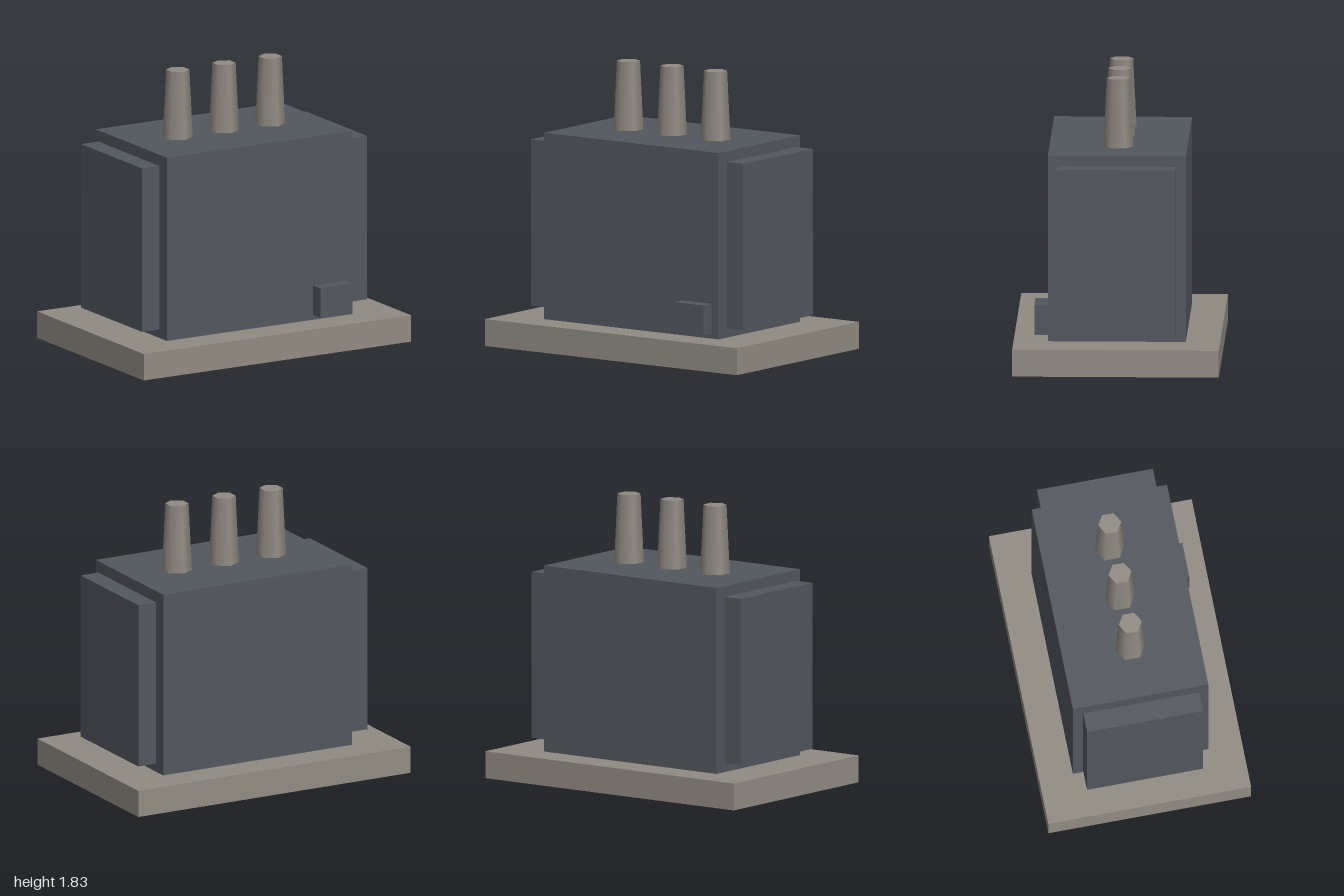
import * as THREE from 'three';

export function createModel() {
  const group = new THREE.Group();
  group.name = 'transformer';

  const stone = new THREE.MeshStandardMaterial({ color: 0x918b82 });
  stone.name = 'warm grey';
  const steel = new THREE.MeshStandardMaterial({ color: 0x52565e });
  steel.name = 'slate grey';

  const add = (name, geometry, material, x, y, z) => {
    const mesh = new THREE.Mesh(geometry, material);
    mesh.name = name;
    mesh.position.set(x, y, z);
    group.add(mesh);
  };
  // Box standing on height y
  const box = (name, material, w, h, d, x, y, z) =>
    add(name, new THREE.BoxGeometry(w, h, d), material, x, y + h / 2, z);

  // Plinth and main tank
  box('basePad', stone, 2, 0.175, 1.325, 0, 0, 0);
  box('tank', steel, 1.388, 1.21, 0.885, 0, 0.175, 0);

  // Cooling panels standing just off both ends
  for (const [name, side] of [['leftRadiator', 1], ['rightRadiator', -1]]) {
    box(name, steel, 0.13, 1.08, 0.757, side * 0.777, 0.24, 0);
  }

  // Small control box on the front
  box('controlBox', steel, 0.238, 0.195, 0.09, 0.52, 0.206, 0.486);

  // Tapered six-sided bushings
  for (const x of [-0.346, 0, 0.346]) {
    add('bushing', new THREE.CylinderGeometry(0.075, 0.096, 0.445, 6), stone, x, 1.6075, 0);
  }

  return group;
}
